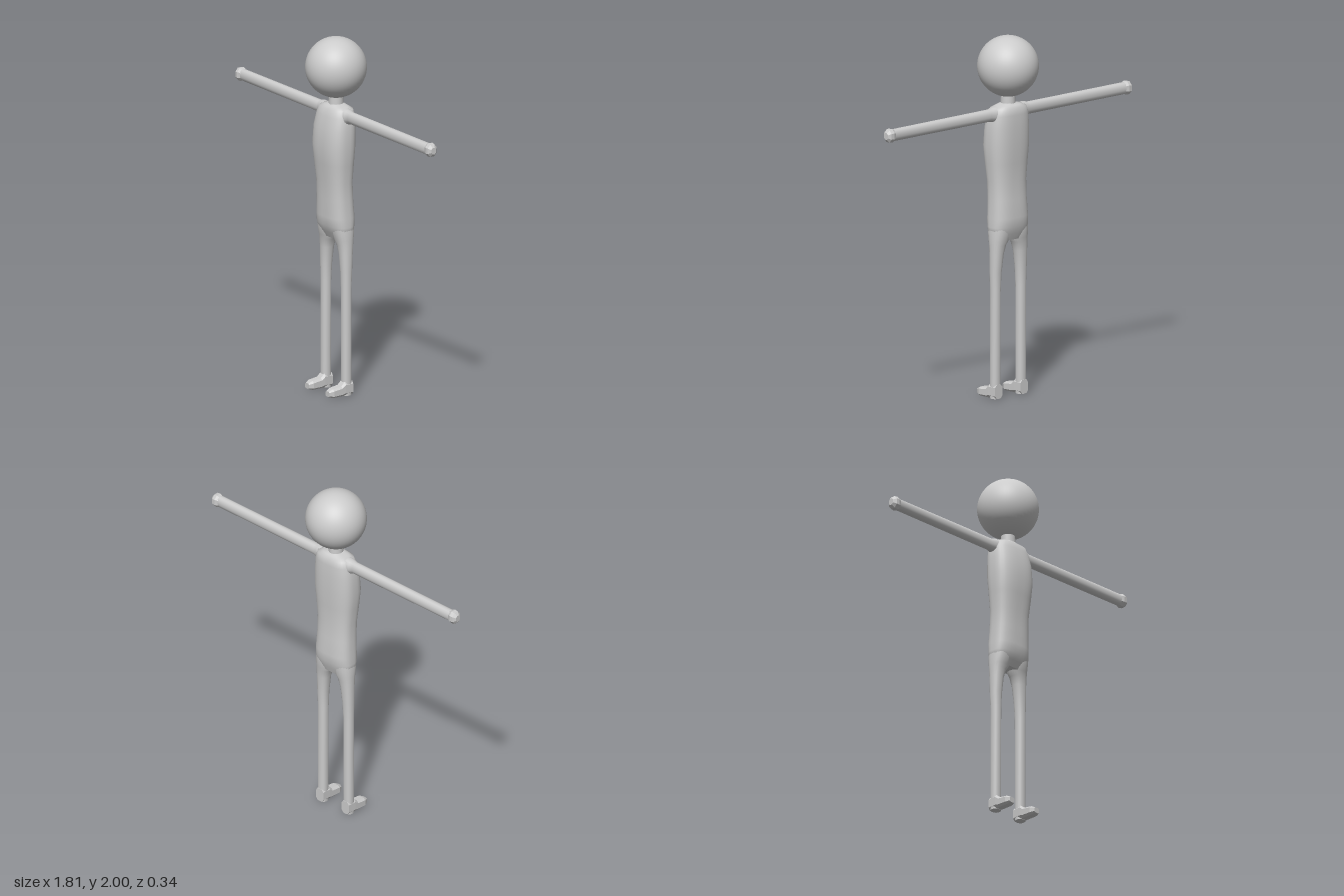
import * as THREE from 'three';

const smooth = new THREE.MeshStandardMaterial({ color: 0xcccccc });
const faceted = new THREE.MeshStandardMaterial({ color: 0xcccccc, flatShading: true });

// Closed skin over rounded sections [y, centreX, halfX, centreZ, halfZ].
function loft(sections, sides, power = 2) {
  const pos = [], index = [];
  const bulge = (v) => Math.sign(v) * Math.pow(Math.abs(v), 2 / power);
  const ring = ([y, cx, hx, cz, hz]) => {
    const start = pos.length / 3;
    for (let j = 0; j < sides; j++) {
      const a = ((j + 0.5) / sides) * Math.PI * 2;
      pos.push(cx + hx * bulge(Math.cos(a)), y, cz + hz * bulge(Math.sin(a)));
    }
    return start;
  };
  const rings = sections.map(ring);
  for (let i = 0; i + 1 < rings.length; i++) {
    for (let j = 0; j < sides; j++) {
      const k = (j + 1) % sides;
      const a = rings[i] + j, b = rings[i] + k, c = rings[i + 1] + j, d = rings[i + 1] + k;
      index.push(a, c, b, b, c, d);
    }
  }
  // End caps have their own rings so their edges stay crisp
  [sections[0], sections[sections.length - 1]].forEach((s, end) => {
    const start = ring(s), mid = pos.length / 3;
    pos.push(s[1], s[0], s[3]);
    for (let j = 0; j < sides; j++) {
      const a = start + j, b = start + ((j + 1) % sides);
      if (end) index.push(mid, b, a);
      else index.push(mid, a, b);
    }
  });
  const g = new THREE.BufferGeometry();
  g.setAttribute('position', new THREE.Float32BufferAttribute(pos, 3));
  g.setIndex(index);
  g.computeVertexNormals();
  return g;
}

export function createModel() {
  const model = new THREE.Group();
  const add = (name, geometry, material = smooth) => {
    const mesh = new THREE.Mesh(geometry, material);
    mesh.name = name;
    model.add(mesh);
    return mesh;
  };

  // Head and neck
  add('head', new THREE.SphereGeometry(0.168, 48, 32)).position.y = 1.832;
  add('neck', new THREE.CylinderGeometry(0.038, 0.042, 0.1, 20)).position.y = 1.65;

  // Torso, fuller at the chest and seat, narrowing into the hips
  add('torso', loft([
    [0.875, 0, 0.085, -0.002, 0.043],
    [0.91, 0, 0.122, 0, 0.058],
    [0.95, 0, 0.123, 0.003, 0.073],
    [1.0, 0, 0.121, 0.003, 0.077],
    [1.1, 0, 0.116, 0.007, 0.074],
    [1.2, 0, 0.116, 0.011, 0.074],
    [1.3, 0, 0.126, 0.014, 0.082],
    [1.4, 0, 0.134, 0.015, 0.09],
    [1.5, 0, 0.131, 0.01, 0.086],
    [1.57, 0, 0.122, 0.002, 0.077],
    [1.608, 0, 0.108, -0.002, 0.068],
    [1.62, 0, 0.075, -0.001, 0.05],
    [1.63, 0, 0.04, 0, 0.038],
  ], 32, 2.7));

  for (const [side, s] of [['left', 1], ['right', -1]]) {
    // Arm with a small flare at the shoulder
    const arm = add(side + 'Arm', loft([
      [0.09, 0, 0.042, 0, 0.04],
      [0.122, 0, 0.04, 0, 0.035],
      [0.145, 0, 0.034, 0, 0.027],
      [0.87, 0, 0.033, 0, 0.026],
    ], 16, 2.2));
    // Blunt hand, slightly wider than the arm
    const hand = add(side + 'Hand', loft([
      [0.853, 0, 0.032, 0, 0.026],
      [0.872, 0, 0.04, 0, 0.034],
      [0.892, 0, 0.037, 0, 0.032],
      [0.907, 0, 0.02, 0, 0.017],
    ], 8, 2.2), faceted);
    for (const part of [arm, hand]) {
      part.rotation.z = -s * Math.PI / 2;
      part.position.y = 1.577;
    }

    // Leg, spreading into the hip with an arched inner side
    add(side + 'Leg', loft([
      [0, 0.095, 0.028, 0, 0.027],
      [0.08, 0.095, 0.028, 0, 0.027],
      [0.6, 0.094, 0.028, 0, 0.028],
      [0.7, 0.093, 0.032, -0.001, 0.031],
      [0.8, 0.087, 0.038, -0.002, 0.037],
      [0.85, 0.079, 0.046, -0.002, 0.043],
      [0.875, 0.07, 0.055, -0.001, 0.05],
      [0.92, 0.065, 0.059, 0.001, 0.059],
      [0.96, 0.065, 0.055, 0.002, 0.06],
    ].map(([y, cx, ...rest]) => [y, s * cx, ...rest]), 20, 2.3));

    // Foot, lofted from heel to toe; section depth becomes height
    const foot = add(side + 'Foot', loft([
      [-0.028, 0, 0.028, -0.04, 0.04],
      [0.022, 0, 0.031, -0.041, 0.041],
      [0.045, 0, 0.031, -0.03, 0.03],
      [0.1, 0, 0.031, -0.026, 0.026],
      [0.125, 0, 0.019, -0.024, 0.016],
    ], 8, 3.5), faceted);
    foot.rotation.x = Math.PI / 2;
    foot.position.x = s * 0.095;
  }
  return model;
}
